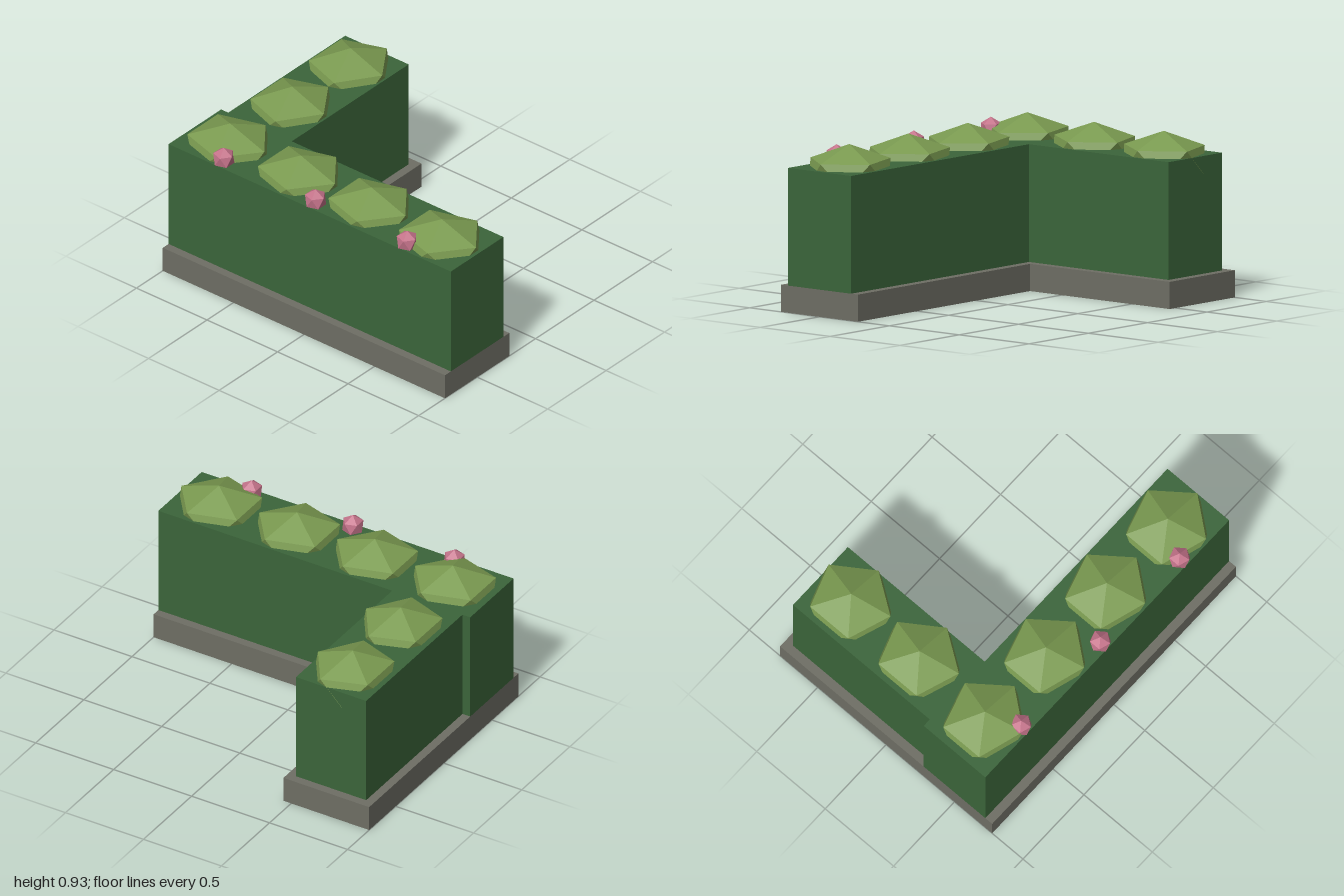
import * as THREE from 'three';

const material = (name, color, flatShading = false) => {
  const m = new THREE.MeshStandardMaterial({ color, flatShading });
  m.name = name;
  return m;
};

// L-shaped slab: points are [x, z], rising from y0 to y1
function slab(name, points, y0, y1, mat) {
  const shape = new THREE.Shape(points.map(([x, z]) => new THREE.Vector2(x, -z)));
  const geo = new THREE.ExtrudeGeometry(shape, { depth: y1 - y0, bevelEnabled: false });
  geo.rotateX(-Math.PI / 2);
  const mesh = new THREE.Mesh(geo, mat);
  mesh.position.y = y0;
  mesh.name = name;
  return mesh;
}

export function createModel() {
  const group = new THREE.Group();
  group.name = 'cornerHedge';

  const stone = material('stone', 0x6e6e64);
  const hedgeGreen = material('hedgeGreen', 0x3b653a);
  const leafGreen = material('leafGreen', 0x7a9a50, true);
  const pink = material('blossomPink', 0xc4738a, true);

  // Stone plinth and clipped hedge body
  group.add(slab('plinth', [
    [-1, 0.775], [1, 0.775], [1, 0.225], [-0.45, 0.225], [-0.45, -0.775], [-1, -0.775],
  ], 0, 0.15, stone));
  group.add(slab('hedge', [
    [-1, 0.725], [1, 0.725], [1, 0.275], [-0.5, 0.275],
    [-0.5, -0.725], [-0.95, -0.725], [-0.95, 0.275], [-1, 0.275],
  ], 0.15, 0.8, hedgeGreen));

  // Icosahedron standing on a corner, one upper-ring corner towards +x
  const ico = new THREE.IcosahedronGeometry(1, 0);
  ico.rotateZ(-Math.atan(2 / (1 + Math.sqrt(5))));
  const clump = (name, mat, position, scale) => {
    const mesh = new THREE.Mesh(ico, mat);
    mesh.name = name;
    mesh.position.set(...position);
    mesh.scale.set(...scale);
    group.add(mesh);
  };

  // Leaf mounds along the front run, then along the side run
  [-0.75, -0.25, 0.25, 0.75].forEach((x, i) =>
    clump(`frontMound${i + 1}`, leafGreen, [x, 0.77, 0.5], [0.27, 0.155, 0.25]));
  [0, -0.5].forEach((z, i) =>
    clump(`sideMound${i + 1}`, leafGreen, [-0.725, 0.77, z], [0.25, 0.155, 0.265 * 0.9 + 0.0265]));

  // Blossoms near the front edge
  [-0.65, 0, 0.65].forEach((x, i) =>
    clump(`blossom${i + 1}`, pink, [x, 0.83, 0.675], [0.065, 0.065, 0.065]));

  return group;
}
